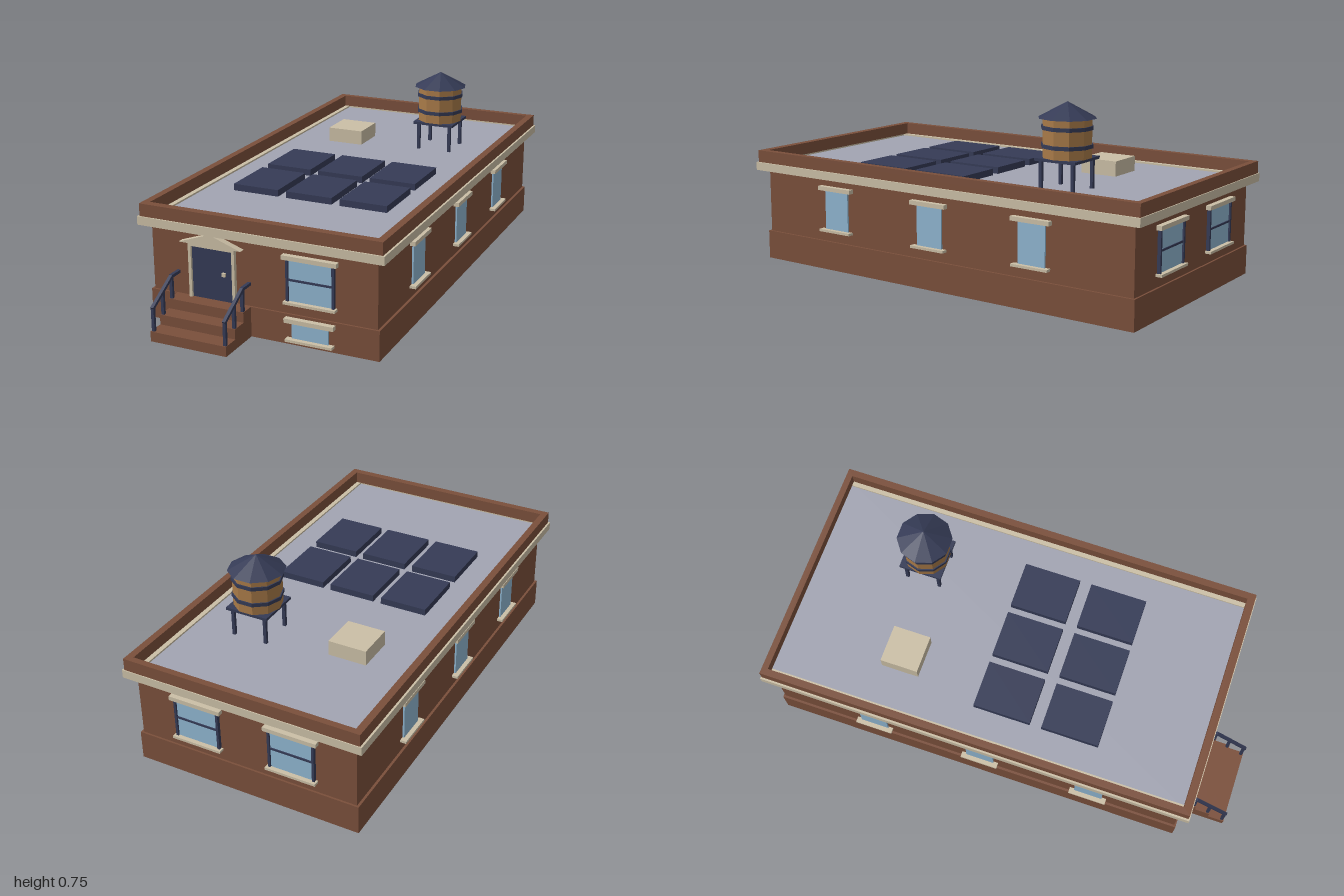
import * as THREE from 'three';

const mat = (name, color, opts = {}) => {
  const m = new THREE.MeshStandardMaterial({ color, ...opts });
  m.name = name;
  return m;
};

export function createModel() {
  const brick = mat('brick brown', 0x7a4f3b);
  const stone = mat('pale stone', 0xcbbfa6);
  const navy = mat('dark navy', 0x353b56, { flatShading: true });
  const glass = mat('window blue', 0x8fb5d0);
  const roofGrey = mat('roof grey', 0xa2a4b2);
  const wood = mat('barrel wood', 0xa87a48, { flatShading: true });

  const model = new THREE.Group();
  model.name = 'building';

  // Box from its min and max corners
  const box = (parent, name, m, x0, x1, y0, y1, z0, z1) => {
    const mesh = new THREE.Mesh(new THREE.BoxGeometry(x1 - x0, y1 - y0, z1 - z0), m);
    mesh.position.set((x0 + x1) / 2, (y0 + y1) / 2, (z0 + z1) / 2);
    mesh.name = name;
    parent.add(mesh);
    return mesh;
  };
  const group = (name, parent = model) => {
    const g = new THREE.Group();
    g.name = name;
    parent.add(g);
    return g;
  };

  // Rectangular ring lying flat, from outer and inner extents
  const ring = (name, m, [ox, oz0, oz1], [ix, iz0, iz1], y0, y1) => {
    const rect = (P, x, z0, z1) => {
      const p = new P();
      p.moveTo(-x, -z1); p.lineTo(x, -z1); p.lineTo(x, -z0); p.lineTo(-x, -z0); p.closePath();
      return p;
    };
    const shape = rect(THREE.Shape, ox, oz0, oz1);
    shape.holes.push(rect(THREE.Path, ix, iz0, iz1));
    const geo = new THREE.ExtrudeGeometry(shape, { depth: y1 - y0, bevelEnabled: false });
    geo.rotateX(-Math.PI / 2);
    const mesh = new THREE.Mesh(geo, m);
    mesh.position.y = y0;
    mesh.name = name;
    model.add(mesh);
  };

  // Main body
  box(model, 'plinth', brick, -0.475, 0.475, 0, 0.12, -0.97, 0.81);
  box(model, 'walls', brick, -0.465, 0.465, 0.12, 0.4, -0.962, 0.802);
  box(model, 'roofDeck', roofGrey, -0.46, 0.46, 0.39, 0.413, -0.972, 0.81);
  ring('cornice', stone, [0.504, -1, 0.842], [0.447, -0.974, 0.808], 0.386, 0.42);
  ring('parapet', brick, [0.496, -0.996, 0.836], [0.467, -0.97, 0.804], 0.42, 0.47);

  // Windows are built facing +z around a local origin on the wall
  const addWindow = (name, x, z, turn, w, y0, y1, framed, lintelOver, sillOver, lintelH = 0.017) => {
    const g = group(name);
    g.position.set(x, 0, z);
    g.rotation.y = turn;
    const h = w / 2;
    box(g, 'glass', glass, -h, h, y0, y1, -0.005, 0.007);
    box(g, 'lintel', stone, -h - lintelOver, h + lintelOver, y1, y1 + lintelH, -0.005, 0.022);
    box(g, 'sill', stone, -h - sillOver, h + sillOver, y0 - 0.008, y0 + 0.002, -0.005, 0.025);
    if (framed) {
      for (const s of [-1, 1]) {
        const cx = s * (h + 0.005);
        box(g, 'sideFrame', navy, cx - 0.005, cx + 0.005, y0, y1, -0.005, 0.014);
      }
      const mid = (y0 + y1) / 2 + 0.003;
      box(g, 'middleBar', navy, -h, h, mid - 0.004, mid + 0.004, -0.005, 0.011);
    }
  };
  addWindow('frontWindow', 0.202, 0.802, 0, 0.174, 0.171, 0.336, true, 0.023, 0.018);
  addWindow('basementWindow', 0.202, 0.81, 0, 0.148, 0.027, 0.093, false, 0.026, 0.021);
  for (const x of [-0.202, 0.202])
    addWindow('backWindow', x, -0.962, Math.PI, 0.174, 0.171, 0.336, true, 0.023, 0.018);
  for (const s of [-1, 1])
    for (const z of [0.42, -0.06, -0.535])
      addWindow('sideWindow', s * 0.465, z, s * Math.PI / 2, 0.12, 0.171, 0.336, false, 0.025, 0.02);

  // Front door with stone surround and gable
  const door = group('frontDoor');
  box(door, 'doorPanel', navy, -0.29, -0.117, 0.12, 0.326, 0.795, 0.808);
  box(door, 'leftJamb', stone, -0.117, -0.105, 0.12, 0.34, 0.795, 0.818);
  box(door, 'rightJamb', stone, -0.302, -0.29, 0.12, 0.34, 0.795, 0.818);
  box(door, 'doorHead', stone, -0.29, -0.117, 0.326, 0.34, 0.795, 0.818);
  box(door, 'doorKnob', stone, -0.16, -0.146, 0.223, 0.237, 0.806, 0.818);
  const gable = new THREE.Shape();
  gable.moveTo(-0.334, 0.34); gable.lineTo(-0.072, 0.34); gable.lineTo(-0.203, 0.386); gable.closePath();
  const pediment = new THREE.Mesh(new THREE.ExtrudeGeometry(gable, { depth: 0.033, bevelEnabled: false }), stone);
  pediment.position.z = 0.795;
  pediment.name = 'pediment';
  door.add(pediment);

  // Steps, each reaching back to the plinth
  const stairs = group('frontSteps');
  [1, 0.932, 0.868].forEach((z, i) =>
    box(stairs, 'step', brick, -0.364, -0.044, i * 0.04, (i + 1) * 0.04, 0.8, z));

  // Handrails: three posts, a sloping rail and a level rail
  for (const x of [-0.354, -0.052]) {
    const rail = group('handrail', stairs);
    const r = 0.006;
    [[0.99, 0.04, 0.135], [0.922, 0.08, 0.173], [0.858, 0.12, 0.21]].forEach(([z, y0, y1]) =>
      box(rail, 'post', navy, x - r, x + r, y0, y1, z - r, z + r));
    const dz = 0.138, dy = 0.079;
    const slope = new THREE.Mesh(new THREE.BoxGeometry(0.013, 0.012, Math.hypot(dz, dy)), navy);
    slope.position.set(x, 0.17, 0.927);
    slope.rotation.x = Math.atan2(dy, dz);
    slope.name = 'slopingRail';
    rail.add(slope);
    box(rail, 'levelRail', navy, x - 0.0065, x + 0.0065, 0.203, 0.215, 0.8, 0.862);
  }

  // Roof hatch and solar panels
  box(model, 'roofHatch', stone, -0.284, -0.125, 0.41, 0.475, -0.547, -0.388);
  for (const x of [-0.233, 0, 0.232])
    for (const z of [-0.006, 0.286])
      box(model, 'solarPanel', navy, x - 0.099, x + 0.099, 0.413, 0.44, z - 0.121, z + 0.121);

  // Water tower: ten-sided barrel on a four-legged stand
  const tower = group('waterTower');
  tower.position.set(0.2, 0, -0.517);
  const drum = (name, m, rTop, rBottom, y0, y1) => {
    const geo = new THREE.CylinderGeometry(rTop, rBottom, y1 - y0, 10);
    geo.rotateY(Math.PI / 2);
    const mesh = new THREE.Mesh(geo, m);
    mesh.position.y = (y0 + y1) / 2;
    mesh.name = name;
    tower.add(mesh);
  };
  for (const sx of [-1, 1])
    for (const sz of [-1, 1])
      box(tower, 'leg', navy, sx * 0.071 - 0.0065, sx * 0.071 + 0.0065, 0.41, 0.53, sz * 0.071 - 0.0065, sz * 0.071 + 0.0065);
  box(tower, 'platform', navy, -0.091, 0.091, 0.528, 0.539, -0.091, 0.091);
  drum('barrel', wood, 0.097, 0.097, 0.539, 0.692);
  drum('lowerHoop', navy, 0.102, 0.102, 0.577, 0.592);
  drum('upperHoop', navy, 0.102, 0.102, 0.647, 0.662);
  drum('towerRoof', navy, 0, 0.114, 0.69, 0.752);

  return model;
}
